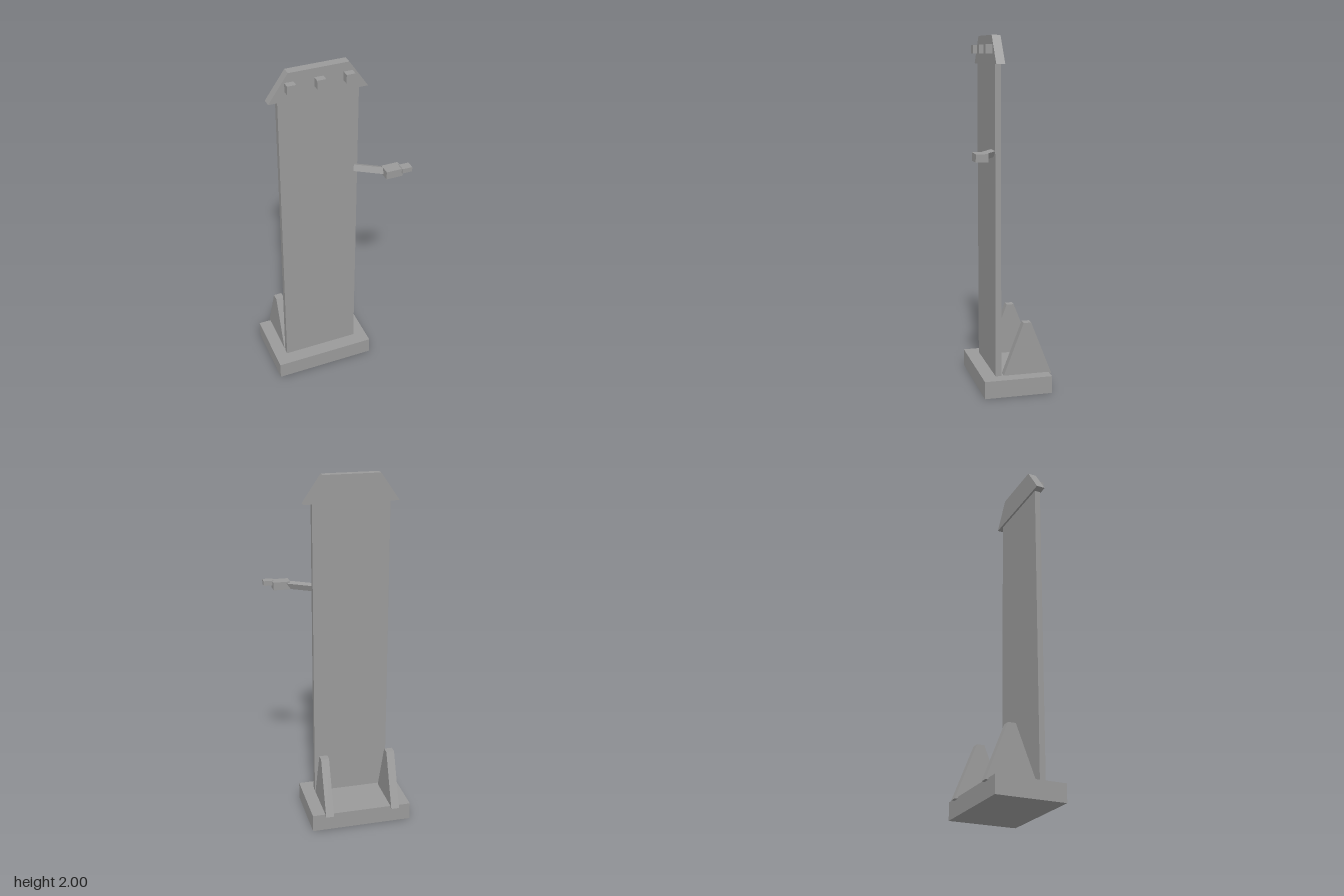
import * as THREE from 'three';

export function createModel() {
  const model = new THREE.Group();
  const grey = new THREE.MeshStandardMaterial({ color: 0x999999 });
  grey.name = 'grey';

  const add = (name, geometry) => {
    const mesh = new THREE.Mesh(geometry, grey);
    mesh.name = name;
    model.add(mesh);
    return mesh;
  };

  // Box given by its limits on each axis
  const box = (name, [x0, x1], [y0, y1], [z0, z1]) => {
    const mesh = add(name, new THREE.BoxGeometry(x1 - x0, y1 - y0, z1 - z0));
    mesh.position.set((x0 + x1) / 2, (y0 + y1) / 2, (z0 + z1) / 2);
    return mesh;
  };

  // Flat outline extruded to a given depth
  const plate = (name, points, depth) => {
    const shape = new THREE.Shape(points.map(([x, y]) => new THREE.Vector2(x, y)));
    return add(name, new THREE.ExtrudeGeometry(shape, { depth, bevelEnabled: false }));
  };

  // Base and upright board
  box('base', [-0.38, 0.204], [0, 0.1], [-0.228, 0.163]);
  box('board', [-0.308, 0.13], [0.1, 1.85], [0.051, 0.084]);

  // Sloped cap on top of the board
  plate('cap', [[-0.357, 1.846], [0.178, 1.846], [0.073, 2], [-0.25, 2]], 0.049).position.z = 0.04;

  // Three pegs on the cap
  for (const x of [-0.246, -0.089, 0.067]) {
    box('peg', [x - 0.024, x + 0.024], [1.902, 1.95], [0.085, 0.128]);
  }

  // Two tapered braces behind the board; outline runs along -z
  for (const x of [-0.308, 0.083]) {
    const brace = plate('brace', [[-0.04, 0.09], [0.246, 0.09], [0.124, 0.402], [0.08, 0.402]], 0.047);
    brace.rotation.y = Math.PI / 2;
    brace.position.x = x;
  }

  // Slanted arm with a stepped hand
  const arm = add('arm', new THREE.BoxGeometry(0.165, 0.036, 0.028));
  arm.rotation.set(-0.37, -0.565, 0, 'YXZ');
  arm.position.set(0.176, 1.368, 0.14);
  box('hand', [0.234, 0.329], [1.345, 1.39], [0.167, 0.236]);
  box('finger', [0.322, 0.379], [1.366, 1.393], [0.197, 0.245]);

  return model;
}
